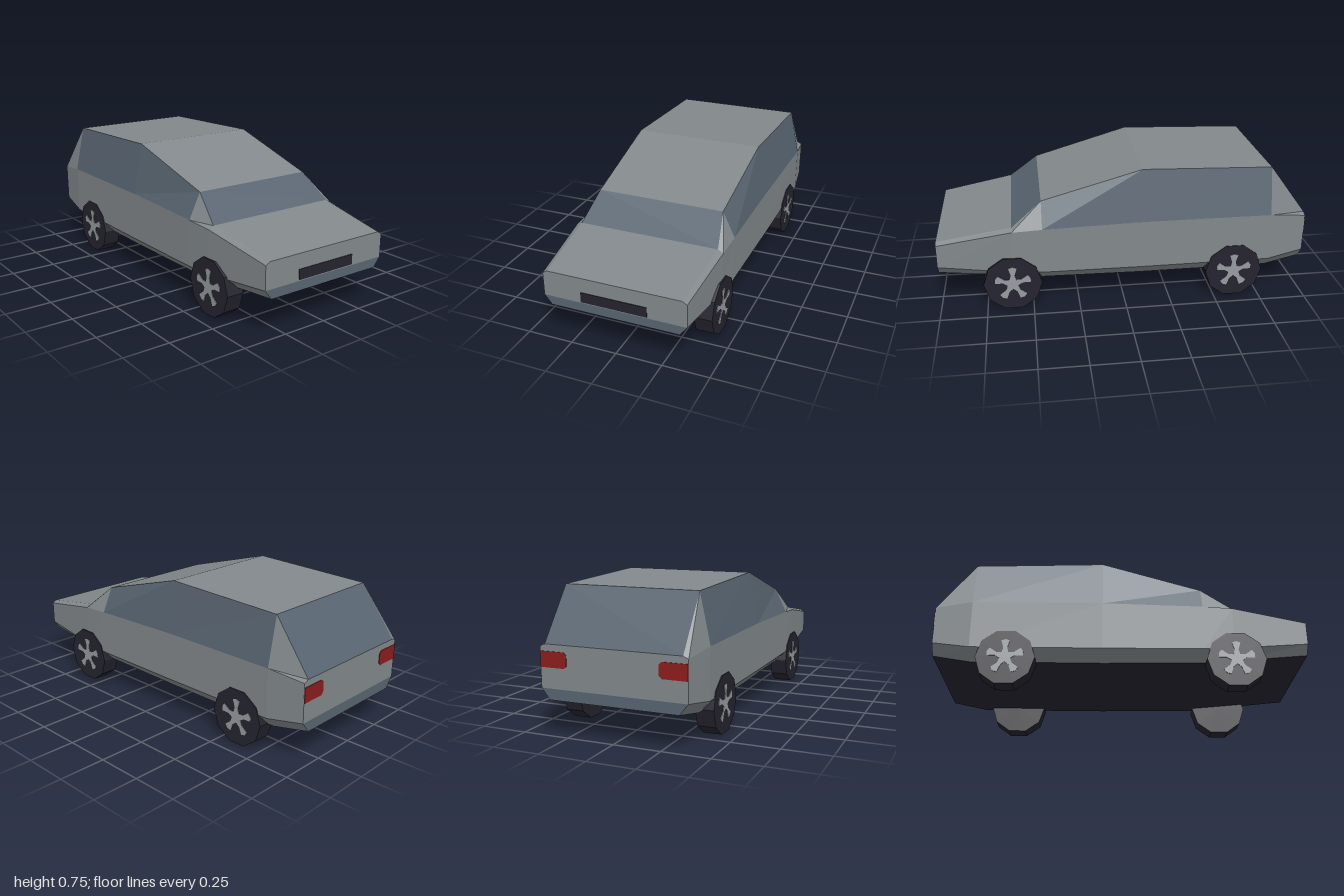
import * as THREE from 'three';

const mat = (name, color) => {
  const m = new THREE.MeshStandardMaterial({ color, flatShading: true });
  m.name = name;
  return m;
};

// Body cross-sections from nose to tail: z, then half outline as
// floor edge, sill, belt line and roof edge (x, y each)
const SECTIONS = [
  [1.0, [0.345, 0.205], [0.385, 0.255], [0.385, 0.38], [0.36, 0.395]],
  [0.6, [0.355, 0.165], [0.412, 0.215], [0.415, 0.45], [0.385, 0.465]],
  [0.44, [0.36, 0.15], [0.417, 0.207], [0.417, 0.458], [0.352, 0.595]],
  [-0.1, [0.36, 0.143], [0.417, 0.205], [0.418, 0.472], [0.362, 0.75]],
  [-0.8, [0.36, 0.145], [0.415, 0.207], [0.417, 0.472], [0.362, 0.73]],
  [-1.0, [0.345, 0.183], [0.39, 0.24], [0.392, 0.448], [0.365, 0.46]],
];

export function createModel() {
  const car = new THREE.Group();
  car.name = 'car';
  const paint = mat('grey paint', 0x82888b);
  const glass = mat('blue grey glass', 0x586470);
  const dark = mat('dark rubber', 0x25242f);
  const metal = mat('rim metal', 0x979b9f);
  const red = mat('tail light red', 0x8c1c1c);

  const add = (geometry, material, name, parent = car) => {
    const mesh = new THREE.Mesh(geometry, material);
    mesh.name = name;
    parent.add(mesh);
    return mesh;
  };

  // Full rings, counter-clockwise seen from the front
  const rings = SECTIONS.map(([z, ...half]) => [
    ...half.map(([x, y]) => [x, y, z]),
    ...half.slice().reverse().map(([x, y]) => [-x, y, z]),
  ]);

  // Collect the panels of each part as triangles
  const parts = {
    bodyShell: { material: paint, points: [] },
    sideWindows: { material: glass, points: [] },
    windscreen: { material: glass, points: [] },
    rearWindow: { material: glass, points: [] },
    bumperStrips: { material: glass, points: [] },
    underbody: { material: dark, points: [] },
  };
  const panel = (part, ...corners) => {
    for (let i = 1; i < corners.length - 1; i++) {
      parts[part].points.push(...corners[0], ...corners[i], ...corners[i + 1]);
    }
  };

  const partFor = (segment, side) => {
    if (side === 7) return 'underbody';
    if (side === 3 && segment === 1) return 'windscreen';
    if (side === 3 && segment === 4) return 'rearWindow';
    if ((side === 2 || side === 4) && (segment === 2 || segment === 3)) return 'sideWindows';
    return 'bodyShell';
  };
  for (let s = 0; s < rings.length - 1; s++) {
    const f = rings[s], b = rings[s + 1];
    for (let i = 0; i < 8; i++) {
      const j = (i + 1) % 8;
      panel(partFor(s, i), f[i], b[i], b[j], f[j]);
    }
  }

  // Nose and tail faces with a darker strip along the bottom
  const nose = rings[0], tail = rings[rings.length - 1];
  panel('bodyShell', nose[1], nose[2], nose[3], nose[4], nose[5], nose[6]);
  panel('bumperStrips', nose[0], nose[1], nose[6], nose[7]);
  panel('bodyShell', tail[6], tail[5], tail[4], tail[3], tail[2], tail[1]);
  panel('bumperStrips', tail[7], tail[6], tail[1], tail[0]);

  for (const [name, { material, points }] of Object.entries(parts)) {
    const g = new THREE.BufferGeometry();
    g.setAttribute('position', new THREE.Float32BufferAttribute(points, 3));
    g.computeVertexNormals();
    add(g, material, name);
  }

  // Grille plate
  add(new THREE.BoxGeometry(0.355, 0.055, 0.006), dark, 'grille').position.set(0, 0.288, 1);

  // Tail lights with clipped inner corners
  for (const side of [1, -1]) {
    const outline = [[0.39, 0.345], [0.39, 0.425], [0.26, 0.425], [0.245, 0.412], [0.245, 0.358], [0.26, 0.345]];
    const shape = new THREE.Shape(outline.map(([x, y]) => new THREE.Vector2(side * x, y)));
    const light = new THREE.ExtrudeGeometry(shape, { depth: 0.006, bevelEnabled: false });
    add(light, red, side > 0 ? 'leftTailLight' : 'rightTailLight').position.z = -1.003;
  }

  // Five-spoke rim plate, spokes flaring outwards
  const star = [];
  for (let k = 0; k < 5; k++) {
    const a = Math.PI / 2 + (k * Math.PI * 2) / 5;
    for (const [r, d] of [[0.03, -0.628], [0.052, -0.2], [0.095, -0.24], [0.1, 0], [0.095, 0.24], [0.052, 0.2]]) {
      star.push(new THREE.Vector2(r * Math.cos(a + d), r * Math.sin(a + d)));
    }
  }
  const rimGeometry = new THREE.ExtrudeGeometry(new THREE.Shape(star), { depth: 0.006, bevelEnabled: false });
  rimGeometry.translate(0, 0, -0.003).rotateY(Math.PI / 2);
  const tyreGeometry = new THREE.CylinderGeometry(0.157, 0.157, 0.098, 10).rotateZ(Math.PI / 2);

  // Four wheels
  for (const z of [0.607, -0.607]) {
    for (const side of [1, -1]) {
      const wheel = new THREE.Group();
      wheel.name = (z > 0 ? 'front' : 'rear') + (side > 0 ? 'Left' : 'Right') + 'Wheel';
      wheel.position.set(side * 0.371, 0.1495, z);
      add(tyreGeometry, dark, 'tyre', wheel);
      add(rimGeometry, metal, 'rim', wheel).position.x = side * 0.049;
      car.add(wheel);
    }
  }
  return car;
}
